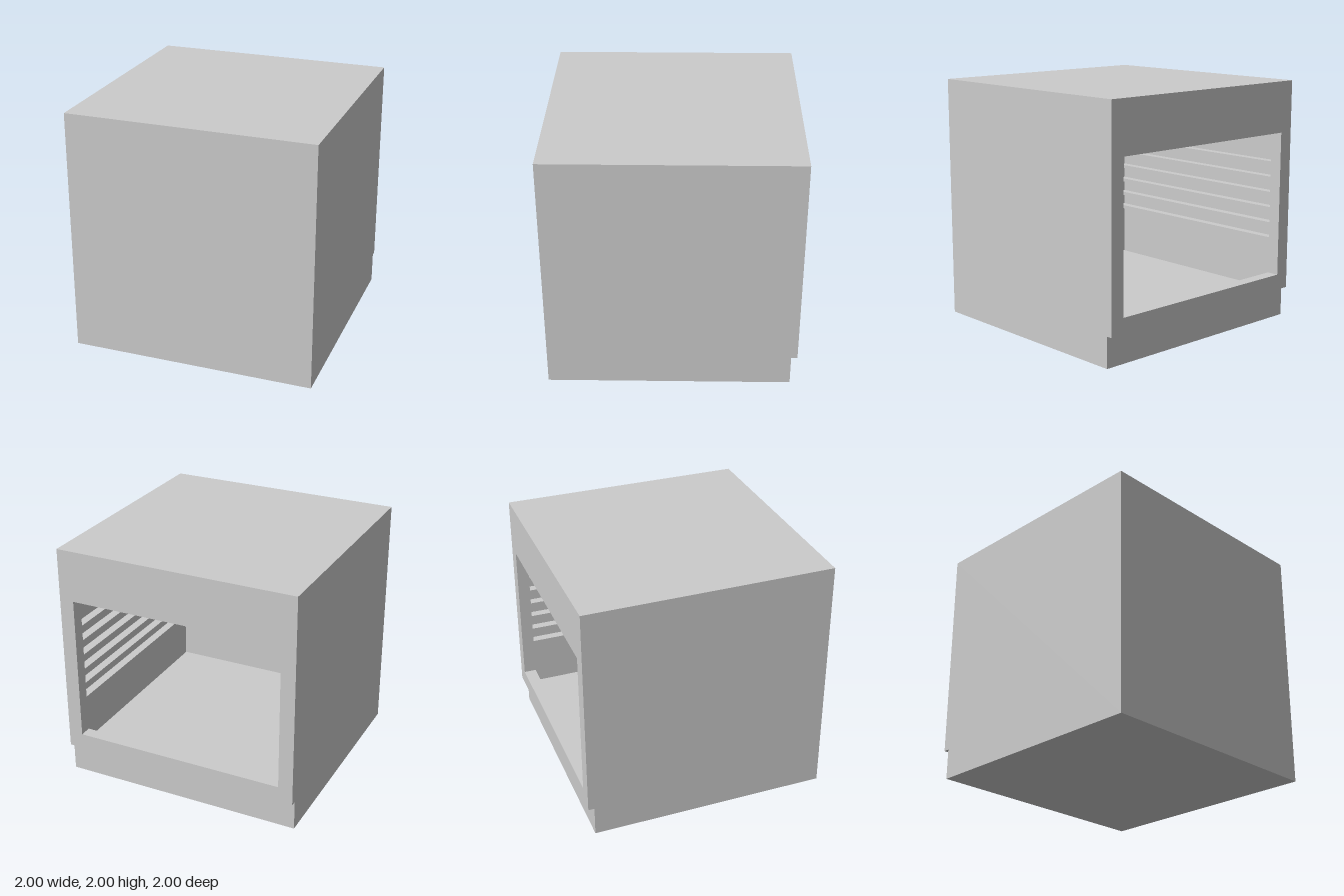
import * as THREE from 'three';

const material = new THREE.MeshStandardMaterial({ color: 0xcccccc, flatShading: true });

function add(parent, name, geometry) {
  const mesh = new THREE.Mesh(geometry, material);
  mesh.name = name;
  parent.add(mesh);
  return mesh;
}

// Box given by its lower and upper corners
function box(parent, name, [x0, y0, z0], [x1, y1, z1]) {
  const mesh = add(parent, name, new THREE.BoxGeometry(x1 - x0, y1 - y0, z1 - z0));
  mesh.position.set((x0 + x1) / 2, (y0 + y1) / 2, (z0 + z1) / 2);
  return mesh;
}

const outline = (points, Type = THREE.Shape) =>
  new Type(points.map(([x, y]) => new THREE.Vector2(x, y)));

export function createModel() {
  const oven = new THREE.Group();
  oven.name = 'builtInOven';

  const wall = 0.95;      // inner face of the side and closed walls
  const floorY = 0.22;
  const ceilingY = 1.77;
  const stepY = 0.25;     // top of the recessed plinth
  const lipZ = -0.9;      // inner face of the opening frame
  const openX = 0.88;

  // Side walls, notched at the plinth
  const sideShape = outline([[-1, 0], [0.95, 0], [0.95, stepY], [1, stepY], [1, 2], [-1, 2]]);
  for (const side of [-1, 1]) {
    const geometry = new THREE.ExtrudeGeometry(sideShape, { depth: 1 - wall, bevelEnabled: false });
    geometry.rotateY(Math.PI / 2); // profile x becomes -z, depth becomes x
    geometry.translate(side > 0 ? wall : -1, 0, 0);
    add(oven, side > 0 ? 'leftWall' : 'rightWall', geometry);
  }

  // Closed wall, top, floor and plinth
  box(oven, 'closedWall', [-wall, 0, wall], [wall, 2, 1]);
  box(oven, 'top', [-wall, ceilingY, lipZ], [wall, 2, wall]);
  box(oven, 'floor', [-wall, 0, lipZ], [wall, floorY, wall]);
  box(oven, 'plinth', [-wall, 0, -0.95], [wall, stepY, lipZ]);

  // Frame around the opening
  const frameShape = outline([[-wall, stepY], [wall, stepY], [wall, 2], [-wall, 2]]);
  frameShape.holes.push(
    outline([[-openX, 0.38], [-openX, 1.58], [openX, 1.58], [openX, 0.38]], THREE.Path));
  const frame = new THREE.ExtrudeGeometry(frameShape, { depth: 0.1, bevelEnabled: false });
  frame.translate(0, 0, -1);
  add(oven, 'openingFrame', frame);

  // Six shelf runners on each side of the cavity
  const runners = new THREE.Group();
  runners.name = 'shelfRunners';
  oven.add(runners);
  for (let i = 0; i < 6; i++) {
    const y = 0.655 + i * 0.129;
    box(runners, 'leftRunner', [openX, y, lipZ], [wall, y + 0.03, wall]);
    box(runners, 'rightRunner', [-wall, y, lipZ], [-openX, y + 0.03, wall]);
  }

  return oven;
}
